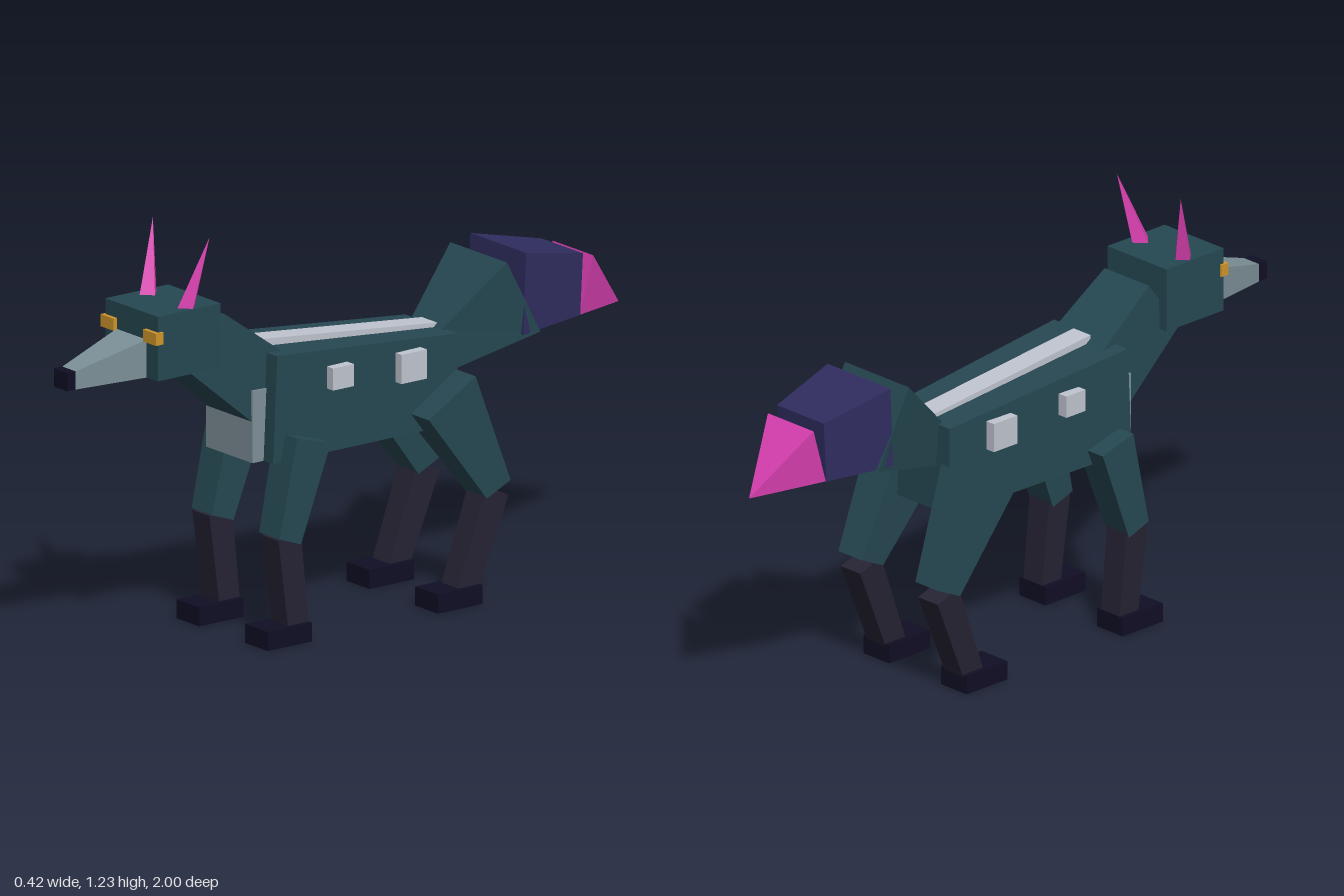
import * as THREE from 'three';

const mat = (name, color) => Object.assign(new THREE.MeshStandardMaterial({ color, flatShading: true }), { name });

// Tapered block between two cross-sections.
// Section: [zUpper, yUpper, zLower, yLower, halfWidth, centreX]
function taperedBlock(a, b) {
  const ring = ([zu, yu, zl, yl, w, x = 0]) => [
    [x - w, yu, zu], [x + w, yu, zu], [x + w, yl, zl], [x - w, yl, zl],
  ];
  const A = ring(a), B = ring(b), pos = [];
  const quad = (p, q, r, s) => pos.push(...p, ...q, ...r, ...p, ...r, ...s);
  quad(A[3], A[2], A[1], A[0]);
  quad(B[0], B[1], B[2], B[3]);
  for (let i = 0; i < 4; i++) {
    const j = (i + 1) % 4;
    quad(A[i], A[j], B[j], B[i]);
  }
  const g = new THREE.BufferGeometry();
  g.setAttribute('position', new THREE.Float32BufferAttribute(pos, 3));
  g.computeVertexNormals();
  return g;
}

export function createModel() {
  const fur = mat('tealFur', 0x264852);
  const muzzle = mat('greyMuzzle', 0x7d9098);
  const silver = mat('silver', 0xc0c5d0);
  const gold = mat('gold', 0xd0962c);
  const magenta = mat('magenta', 0xdb40b2);
  const navy = mat('navy', 0x302d60);
  const shin = mat('darkShin', 0x262334);
  const black = mat('nearBlack', 0x100e24);

  const model = new THREE.Group();
  model.name = 'fox';
  const add = (name, geometry, material) => {
    const m = new THREE.Mesh(geometry, material);
    m.name = name;
    model.add(m);
    return m;
  };
  const block = (name, material, a, b) => add(name, taperedBlock(a, b), material);
  // Box given by its extents on each axis
  const box = (name, material, [x0, x1], [y0, y1], [z0, z1]) =>
    add(name, new THREE.BoxGeometry(x1 - x0, y1 - y0, z1 - z0), material)
      .position.set((x0 + x1) / 2, (y0 + y1) / 2, (z0 + z1) / 2);

  // Torso, chest plate and back stripe
  block('body', fur, [0.34, 0.84, 0.355, 0.525, 0.15], [-0.33, 0.78, -0.33, 0.515, 0.12]);
  box('chest', muzzle, [-0.107, 0.107], [0.525, 0.737], [0.33, 0.395]);
  block('backStripe', silver, [0.305, 0.858, 0.305, 0.81, 0.035], [-0.325, 0.793, -0.325, 0.76, 0.035]);

  // Neck and head
  block('neck', fur, [0.48, 0.975, 0.6, 0.82, 0.09], [0.28, 0.83, 0.34, 0.6, 0.105]);
  box('head', fur, [-0.12, 0.12], [0.832, 1.022], [0.52, 0.745]);
  block('snout', muzzle, [0.745, 0.945, 0.745, 0.832, 0.07], [0.745, 0.945, 0.745, 0.832, 0.07]).geometry =
    taperedBlock([0.975, 0.88, 0.975, 0.828, 0.03], [0.74, 0.945, 0.74, 0.832, 0.07]);
  box('nose', black, [-0.031, 0.031], [0.828, 0.882], [0.97, 1.0]);

  // Tail: base, dark middle and pointed tip
  block('tailBase', fur, [-0.31, 0.78, -0.34, 0.655, 0.07], [-0.5, 0.96, -0.62, 0.735, 0.13]);
  block('tailMiddle', navy, [-0.57, 0.975, -0.56, 0.735, 0.128], [-0.8, 0.925, -0.79, 0.745, 0.095]);
  block('tailTip', magenta, [-0.838, 0.912, -0.79, 0.745, 0.093], [-1, 0.728, -1, 0.726, 0.001]);

  // Mirrored parts
  for (const s of [1, -1]) {
    const side = s > 0 ? 'left' : 'right';
    const span = (a, b) => (s > 0 ? [a, b] : [-b, -a]);

    box(side + 'Eye', gold, span(0.068, 0.127), [0.94, 0.976], [0.73, 0.757]);

    // Ear: four-sided spike leaning out and back
    const base = new THREE.Vector3(s * 0.083, 1.0, 0.622);
    const tip = new THREE.Vector3(s * 0.13, 1.227, 0.567);
    const axis = tip.clone().sub(base);
    const ear = add(side + 'Ear', new THREE.ConeGeometry(0.033, axis.length(), 4), magenta);
    ear.position.copy(base).add(tip).multiplyScalar(0.5);
    ear.quaternion.setFromUnitVectors(new THREE.Vector3(0, 1, 0), axis.normalize());

    // Flank plates
    box(side + 'FrontPlate', silver, span(0.12, 0.17), [0.71, 0.775], [0.08, 0.155]);
    box(side + 'RearPlate', silver, span(0.11, 0.157), [0.68, 0.766], [-0.192, -0.1]);

    // Front leg
    block(side + 'FrontUpperLeg', fur,
      [0.19, 0.57, 0.31, 0.605, 0.052, s * 0.152], [0.295, 0.29, 0.372, 0.318, 0.047, s * 0.155]);
    block(side + 'FrontLowerLeg', shin,
      [0.29, 0.305, 0.373, 0.313, 0.04, s * 0.158], [0.262, 0.04, 0.336, 0.045, 0.038, s * 0.158]);
    box(side + 'FrontFoot', black, span(0.105, 0.21), [0, 0.056], [0.262, 0.42]);

    // Hind leg
    block(side + 'Thigh', fur,
      [-0.325, 0.675, -0.158, 0.575, 0.063, s * 0.147], [-0.455, 0.345, -0.37, 0.305, 0.047, s * 0.157]);
    block(side + 'HindLowerLeg', shin,
      [-0.452, 0.3, -0.37, 0.328, 0.04, s * 0.158], [-0.345, 0.035, -0.273, 0.055, 0.038, s * 0.158]);
    box(side + 'HindFoot', black, span(0.105, 0.21), [0, 0.056], [-0.35, -0.19]);
  }
  return model;
}
